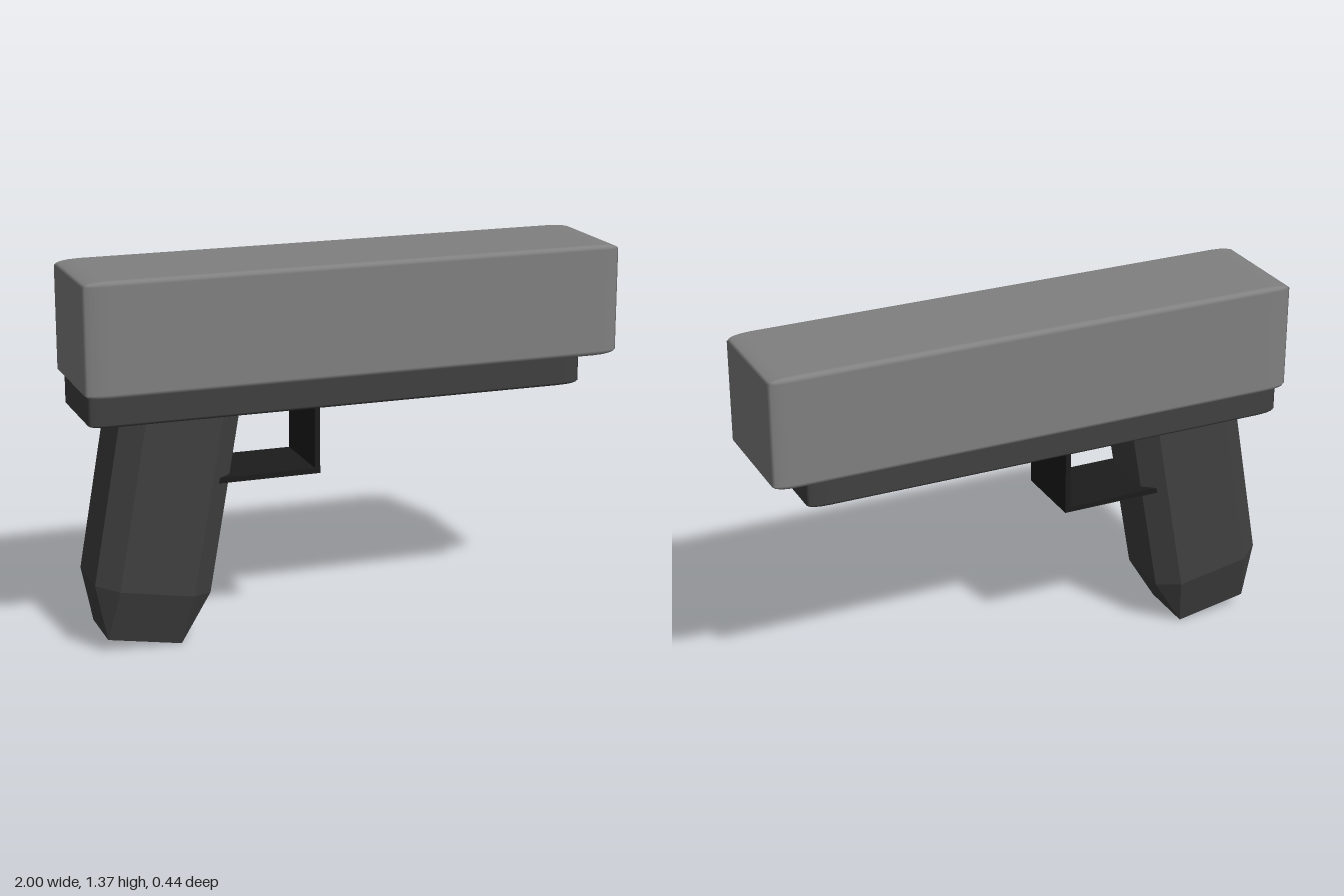
import * as THREE from 'three';
import { RoundedBoxGeometry } from 'three/addons/geometries/RoundedBoxGeometry.js';
import { ConvexGeometry } from 'three/addons/geometries/ConvexGeometry.js';

// Each box below is given by its limits: [x0, x1], [y0, y1] and its half depth
function place(geometry, [x0, x1], [y0, y1], halfDepth) {
  geometry.scale(x1 - x0, y1 - y0, 2 * halfDepth);
  geometry.translate((x0 + x1) / 2, (y0 + y1) / 2, 0);
  return geometry;
}

// Unit cube with softly bevelled edges; the bevel stretches with the box
const bevelledBox = (x, y, halfDepth) =>
  place(new RoundedBoxGeometry(1, 1, 1, 2, 0.045), x, y, halfDepth);

const plainBox = (x, y, halfDepth) =>
  place(new THREE.BoxGeometry(1, 1, 1), x, y, halfDepth);

// Box with flat chamfers that take the fraction c of every side
function chamferedBox(w, h, d, c) {
  const points = [];
  const inner = 1 - 2 * c;
  for (const sx of [-1, 1]) for (const sy of [-1, 1]) for (const sz of [-1, 1]) {
    for (const [a, b, e] of [[1, inner, inner], [inner, 1, inner], [inner, inner, 1]]) {
      points.push(new THREE.Vector3(sx * a * w / 2, sy * b * h / 2, sz * e * d / 2));
    }
  }
  return new ConvexGeometry(points);
}

export function createModel() {
  const model = new THREE.Group();
  model.name = 'pistol';

  const slideMaterial = new THREE.MeshStandardMaterial({ color: 0x808080 });
  const frameMaterial = new THREE.MeshStandardMaterial({ color: 0x404040 });
  const guardMaterial = new THREE.MeshStandardMaterial({ color: 0x1c1c1c });

  const add = (name, geometry, material, parent = model) => {
    const mesh = new THREE.Mesh(geometry, material);
    mesh.name = name;
    parent.add(mesh);
    return mesh;
  };

  // Slide and the narrower frame below it
  add('slide', bevelledBox([-1, 1], [0.96, 1.373], 0.222), slideMaterial);
  add('frame', bevelledBox([-0.983, 0.868], [0.85, 1.12], 0.184), frameMaterial);

  // Grip: chamfered block, leaning back, its upper end inside the frame
  const gripLength = 1.1;
  const lean = THREE.MathUtils.degToRad(-10);
  const grip = add('grip', chamferedBox(0.43, gripLength, 0.34, 0.18), frameMaterial);
  grip.rotation.z = lean;
  grip.position.set(
    -0.785 - Math.sin(lean) * gripLength / 2,
    0.026 + Math.cos(lean) * gripLength / 2,
    0
  );

  // Trigger guard: flat strap and upright, running into the grip and frame
  const guard = new THREE.Group();
  guard.name = 'triggerGuard';
  model.add(guard);
  add('guardStrap', plainBox([-0.6, -0.132], [0.6, 0.62], 0.145), guardMaterial, guard);
  add('guardUpright', plainBox([-0.152, -0.132], [0.62, 0.88], 0.145), guardMaterial, guard);

  return model;
}
